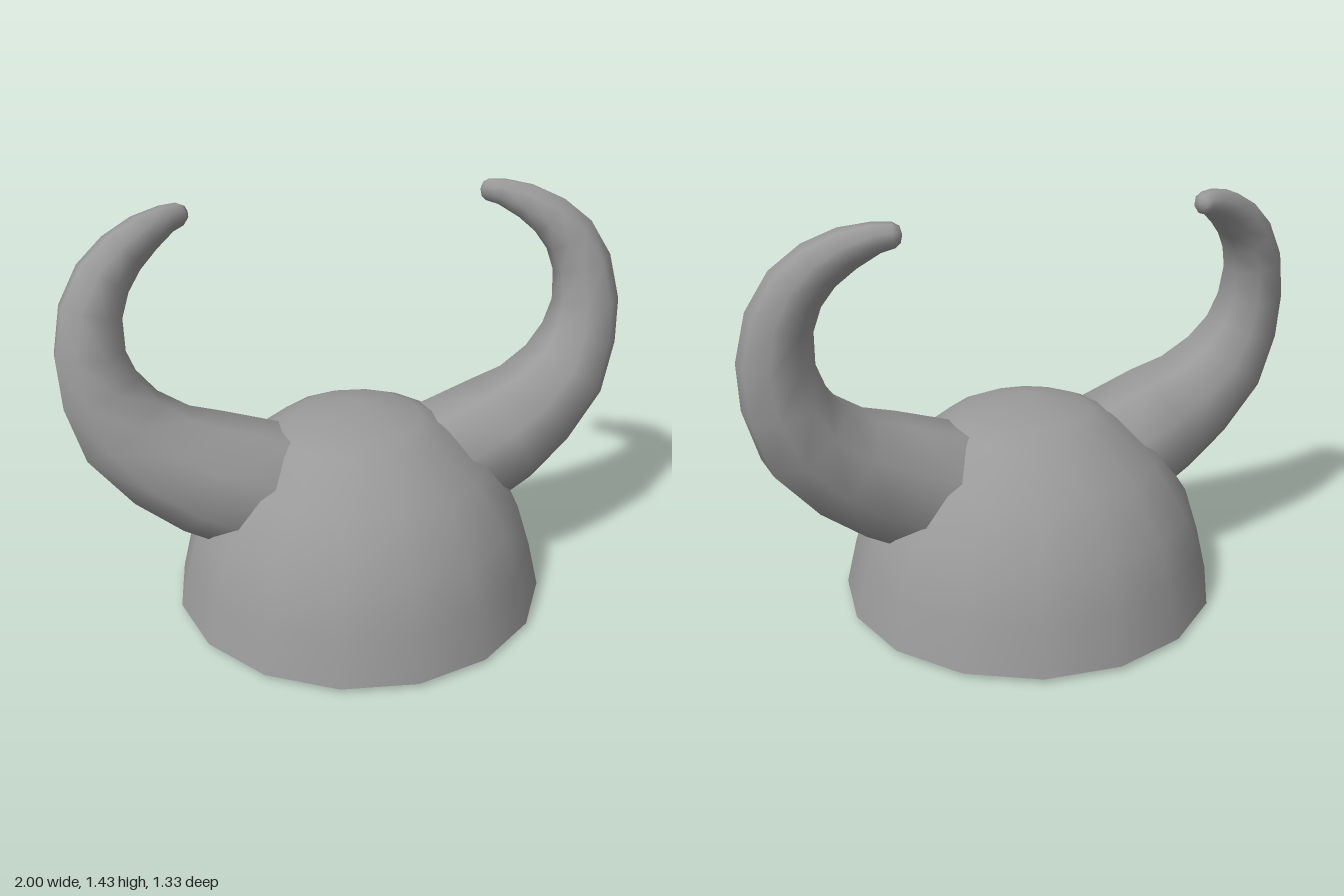
import * as THREE from 'three';
import { mergeGeometries } from 'three/addons/utils/BufferGeometryUtils.js';

const material = new THREE.MeshStandardMaterial({ color: 0x999999 });
const hornMaterial = new THREE.MeshStandardMaterial({ color: 0x999999, side: THREE.DoubleSide });
const SIDES = 8;

// Horn sections from root to tip: x, y, z, half width
const HORN = [
  [0.322, 0.438, -0.002, 0.221],
  [0.555, 0.545, -0.006, 0.2],
  [0.69, 0.624, -0.018, 0.175],
  [0.81, 0.742, -0.034, 0.154],
  [0.869, 0.875, -0.05, 0.128],
  [0.889, 1.0, -0.061, 0.111],
  [0.872, 1.135, -0.081, 0.097],
  [0.823, 1.235, -0.1, 0.086],
  [0.755, 1.305, -0.126, 0.074],
  [0.675, 1.355, -0.16, 0.061],
  [0.595, 1.386, -0.196, 0.044],
  [0.548, 1.392, -0.215, 0.036],
  [0.531, 1.393, -0.222, 0.024],
];

// Smooth lathe strip through [radius, y] points, with level normals at the pole
function strip(points) {
  const geometry = new THREE.LatheGeometry(points.map(([r, y]) => new THREE.Vector2(r, y)), 16);
  const { position, normal } = geometry.attributes;
  for (let i = 0; i < position.count; i++) {
    if (Math.hypot(position.getX(i), position.getZ(i)) < 1e-6) {
      normal.setXYZ(i, 0, Math.sign(normal.getY(i)), 0);
    }
  }
  return geometry;
}

// Octagonal tapering horn, open at the root; side is +1 for left, -1 for right
function hornGeometry(side) {
  const centres = HORN.map(([x, y, z]) => new THREE.Vector3(x, y, z));
  const last = centres.length - 1;
  const positions = [], indices = [];
  const add = (p) => positions.push(p.x * side, p.y, p.z) / 3 - 1;
  const face = (a, b, c) => (side > 0 ? indices.push(a, b, c) : indices.push(a, c, b));

  const ids = centres.map((c, i) => {
    const t = centres[Math.min(i + 1, last)].clone().sub(centres[Math.max(i - 1, 0)]).normalize();
    const u = new THREE.Vector3(0, 0, 1).cross(t).normalize();
    const w = t.clone().cross(u);
    const radius = HORN[i][3] / Math.cos(Math.PI / SIDES);
    return Array.from({ length: SIDES }, (_, k) => {
      const a = ((k + 0.5) / SIDES) * Math.PI * 2;
      return add(c.clone().addScaledVector(u, Math.cos(a) * radius).addScaledVector(w, Math.sin(a) * radius));
    });
  });
  const tip = add(centres[last].clone().add(new THREE.Vector3(-0.006, 0, -0.003)));
  for (let k = 0; k < SIDES; k++) {
    const n = (k + 1) % SIDES;
    for (let i = 0; i < last; i++) {
      face(ids[i][k], ids[i][n], ids[i + 1][n]);
      face(ids[i][k], ids[i + 1][n], ids[i + 1][k]);
    }
    face(ids[last][k], ids[last][n], tip);
  }

  const geometry = new THREE.BufferGeometry();
  geometry.setAttribute('position', new THREE.Float32BufferAttribute(positions, 3));
  geometry.setIndex(indices);
  geometry.computeVertexNormals();
  return geometry;
}

export function createModel() {
  const group = new THREE.Group();
  group.name = 'hornedHelmet';

  // Hollow bowl: outer shell, lining of even thickness and rim
  const outer = [[0.667, 0.015], [0.628, 0.18], [0.577, 0.342], [0.462, 0.517], [0.295, 0.648], [0.225, 0.679], [0, 0.74]];
  const inner = [[0, 0.676], [0.204, 0.62], [0.262, 0.594], [0.417, 0.475], [0.521, 0.315], [0.567, 0.164], [0.605, 0]];
  const rim = [[0.605, 0], [0.667, 0.015]];
  const bowl = new THREE.Mesh(mergeGeometries([outer, inner, rim].map(strip)), material);
  bowl.name = 'bowl';
  group.add(bowl);

  // Pair of horns
  for (const [name, side] of [['leftHorn', 1], ['rightHorn', -1]]) {
    const horn = new THREE.Mesh(hornGeometry(side), hornMaterial);
    horn.name = name;
    group.add(horn);
  }
  return group;
}
